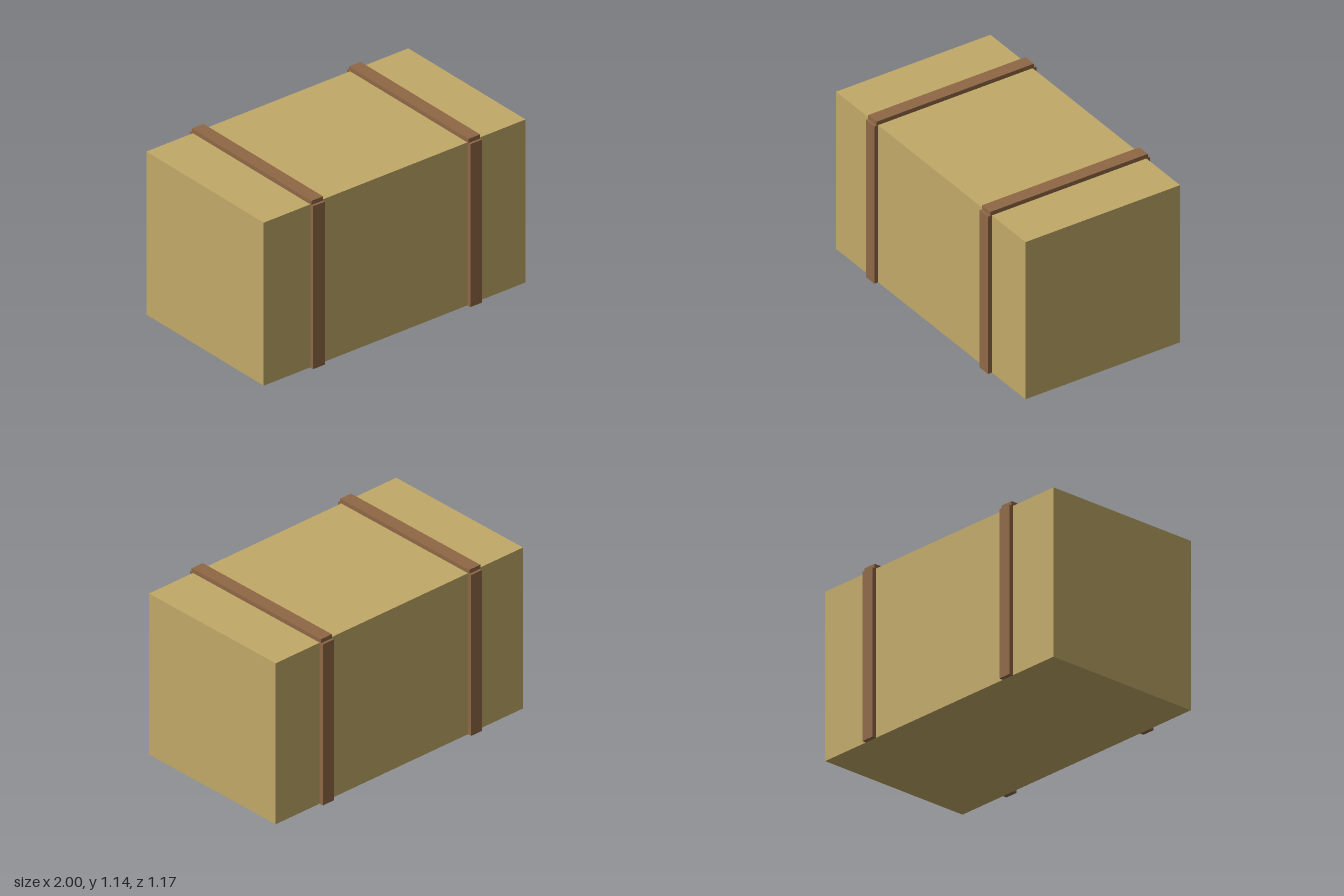
import * as THREE from 'three';

export function createModel() {
  const model = new THREE.Group();
  model.name = 'strappedCrate';

  const tan = new THREE.MeshStandardMaterial({ color: 0xc2a968 });
  tan.name = 'tan';
  const brown = new THREE.MeshStandardMaterial({ color: 0x8f6846 });
  brown.name = 'leather brown';

  function addBox(parent, name, material, size, position) {
    const mesh = new THREE.Mesh(new THREE.BoxGeometry(...size), material);
    mesh.name = name;
    mesh.position.set(...position);
    parent.add(mesh);
  }

  const side = 1.111; // height and depth of the crate
  const strapWidth = 0.089;
  const strapThickness = 0.028;

  // Crate body
  addBox(model, 'crateBody', tan, [2, side, side], [0, side / 2, 0]);

  // Two straps, each running up the front, over the top and down the back
  for (const [name, x] of [['leftStrap', 0.6], ['rightStrap', -0.6]]) {
    const strap = new THREE.Group();
    strap.name = name;
    strap.position.x = x;
    model.add(strap);

    addBox(strap, 'strapTop', brown, [strapWidth, strapThickness, 1.133],
      [0, side + strapThickness / 2, 0]);
    for (const [face, s] of [['strapFront', 1], ['strapBack', -1]]) {
      addBox(strap, face, brown, [strapWidth, side, strapThickness],
        [0, side / 2, s * (side + strapThickness) / 2]);
    }
  }

  return model;
}
